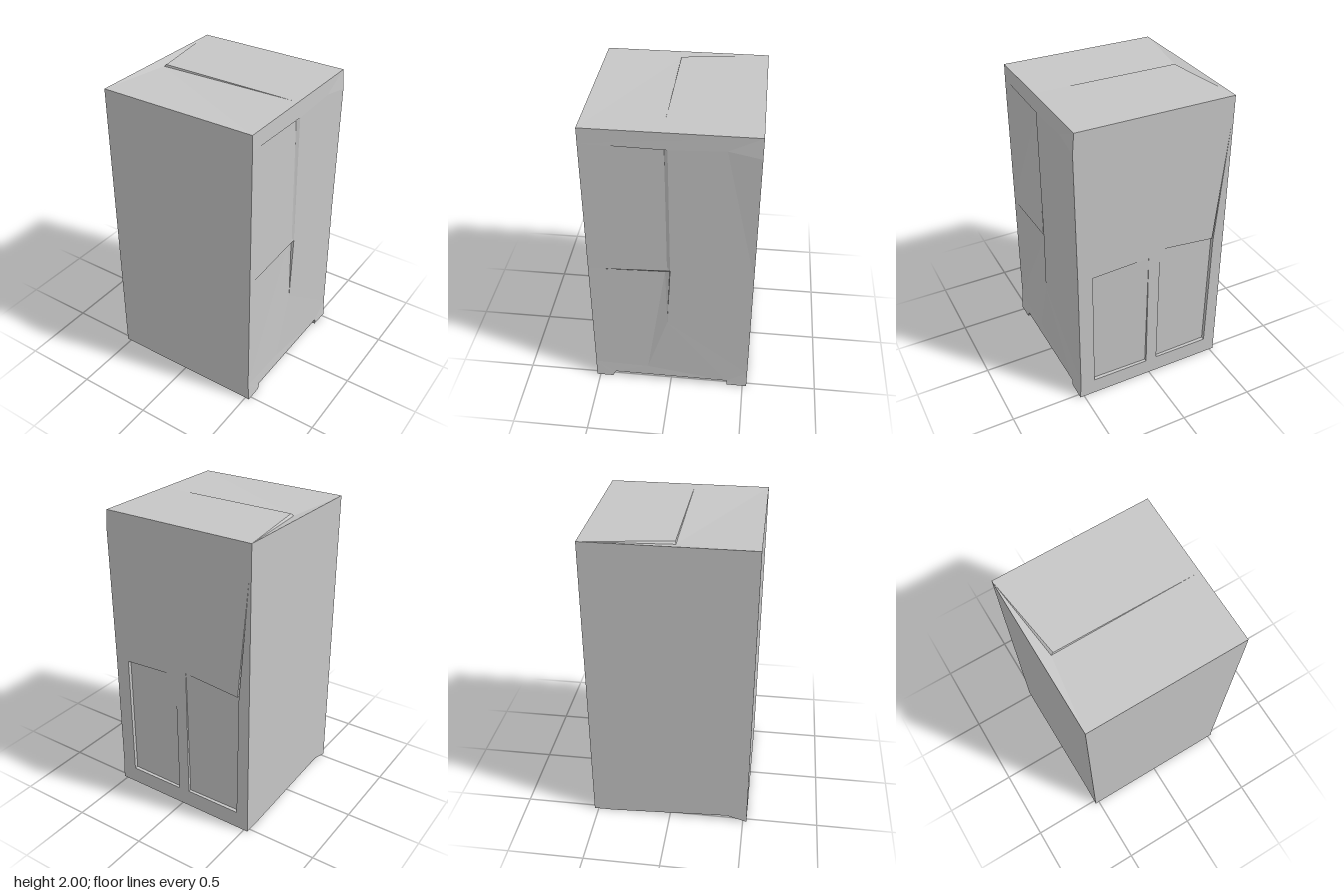
import * as THREE from 'three';

const grey = new THREE.MeshStandardMaterial({ color: 0xc6c6c6 });
grey.name = 'plain grey';

const H = 0.528; // half width and half depth

// Each side is drawn in its own (u right, v up, d inward) frame as seen from outside.
const frames = {
  front: (u, v, d) => [u, v, H - 0.003 - d],
  back: (u, v, d) => [-u, v, -H + d],
  left: (u, v, d) => [H - d, v, -u],
  right: (u, v, d) => [-H + d, v, u],
  top: (u, v, d) => [u, 2 - d, -v],
  bottom: (u, v, d) => [u, d, v],
};
const F = H - 0.003; // front edge

// Flat-faced mesh from counter-clockwise polygons; an optional hole list cuts the polygon.
function sheet(name, frame, polygons) {
  const out = [];
  for (const { outline, holes = [] } of polygons) {
    const all = outline.concat(...holes);
    const v2 = (list) => list.map((p) => new THREE.Vector2(p[0], p[1]));
    const tris = outline.length > 4 || holes.length
      ? THREE.ShapeUtils.triangulateShape(v2(outline), holes.map(v2))
      : outline.slice(2).map((_, i) => [0, i + 1, i + 2]);
    for (const t of tris) {
      for (const i of t) out.push(...frames[frame](all[i][0], all[i][1], all[i][2] || 0));
    }
  }
  const geometry = new THREE.BufferGeometry();
  geometry.setAttribute('position', new THREE.Float32BufferAttribute(out, 3));
  geometry.computeVertexNormals();
  const mesh = new THREE.Mesh(geometry, grey);
  mesh.name = name;
  return mesh;
}

const poly = (...outline) => ({ outline });

// Walls and floor of a sunken panel: the floor follows the rim at each point's depth.
function recess(rim) {
  const flat = rim.map(([u, v]) => [u, v, 0]);
  const walls = rim.map((p, i) => {
    const j = (i + 1) % rim.length;
    return poly(flat[i], flat[j], rim[j], p);
  });
  return [...walls, poly(...rim)];
}

function topSide() {
  const a = [-H, H, 0], b = [0.516, H, 0], c = [0.516, -F, 0], e = [-H, -F, 0];
  const p = [-0.445, -0.033, 0], q = [-0.46, -0.037, 0.014], r = [0.5, -0.037, 0];
  return sheet('topWithStep', 'top', [
    poly(a, p, r, b), poly(a, q, p), poly(q, r, p),
    poly(a, e, q), poly(e, c, q), poly(q, c, r), poly(r, c, b),
  ]);
}

function doorSide() {
  // top band, outer edges and feet
  const TL = [-F, 2, 0.012], TR = [H, 2, 0.012], U = [-F, 1.9, 0.01];
  const V = [H, 1.87, 0.001], T = [0.33, 1.905, 0.009];
  const ML = [-F, 0.98, 0.009], MR = [H, 0.98, 0.008];
  const P = [-F, 0.125, 0.008], Q = [-0.16, 0.115, 0.008], W = [H, 0.125, 0.007];
  const A = [-F, 0, 0], F1 = [-0.41, 0, 0], N1 = [-0.39, 0.04, 0.003];
  const N2 = [0.39, 0.035, 0.005], F2 = [0.39, 0, 0.002], BR = [H, 0, 0];
  // upper strip, crack and the seam below it
  const l1 = [-0.03, 1.89, 0.024], l0 = [-0.03, 1.04, 0.024];
  const r1 = [-0.008, 1.89, 0.009], r0 = [0, 1.0, 0.009], p = [-0.02, 0.995, 0.014];
  const g = [-0.46, 0.98, 0.009], k = [-0.035, 0.972, 0.034], k2 = [-0.005, 0.985, 0.026];
  const s = [-0.022, 0.55, 0.01];
  return sheet('doorSide', 'left', [
    poly(TL, U, l1, r1, T, V, TR),
    poly(l1, U, ML, g), poly(l1, g, p, l0),
    poly(l1, l0, r0, r1), poly(l0, p, r0),
    poly(g, k, k2, r0, p), poly(k2, s, r0),
    poly(T, r1, r0, s), poly(T, s, MR, V), poly(s, N2, W, MR), poly(N2, F2, BR, W),
    poly(k, g, ML, P), poly(k, P, Q, s), poly(k, s, k2),
    poly(P, A, F1, N1), poly(P, N1, Q), poly(Q, N1, N2), poly(Q, N2, s),
  ]);
}

function backSide() {
  const panelA = [[-0.42, 0.115, 0.025], [-0.025, 0.115, 0.02], [-0.028, 1.0, 0.001],
    [-0.42, 0.98, 0.025]];
  // the second panel's corner runs up into a narrow crack
  const panelB = [[0.054, 0.12, 0.02], [0.443, 0.12, 0.025], [0.452, 0.98, 0.025],
    [0.515, 1.8, 0], [0.443, 1.0, 0.025], [0.054, 1.04, 0.004]];
  const flat = (list) => list.map(([u, v]) => [u, v, 0]).reverse();
  return sheet('backWithPanels', 'back', [
    {
      outline: [[-H, 0], [H, 0], [H, 2], [-0.516, 2], [-0.527, 1.87], [-0.52, 0.98],
        [-0.521, 0.125]],
      holes: [flat(panelA), flat(panelB)],
    },
    ...recess(panelA),
    ...recess(panelB),
  ]);
}

function underside() {
  const slope = [-0.49, -0.39, 0.035];
  return sheet('undersideAndFeet', 'bottom', [
    // back foot and front foot, which tapers to an edge on one side
    poly([-H, -H, 0], [H, -H, 0], [H, -0.39, 0], [-H, -0.39, 0]),
    poly([-H, F, 0], [H, 0.41, 0], [H, F, 0]),
    poly([-H, 0.39, 0.04], [H, 0.39, 0.04], [H, 0.41, 0], [-H, F, 0]),
    poly([-H, -0.39, 0], [H, -0.39, 0], [H, -0.39, 0.035], slope),
    // raised base and the slope at its side
    poly(slope, [H, -0.39, 0.035], [H, 0.39, 0.04], [-H, 0.39, 0.04]),
    poly([-H, -0.39, 0], slope, [-H, 0.39, 0.04]),
  ]);
}

export function createModel() {
  const model = new THREE.Group();
  model.name = 'cabinet';
  model.add(
    sheet('frontSide', 'front', [
      poly([-H, 0], [H, 0], [0.52, 0.125], [0.519, 0.98], [0.518, 1.9], [0.516, 2], [-H, 2]),
    ]),
    sheet('plainSide', 'right', [
      poly([-H, 2], [-H, 0], [-0.39, 0], [0.39, 0.04], [F, 0], [F, 2]),
    ]),
    topSide(), doorSide(), backSide(), underside(),
  );
  return model;
}
